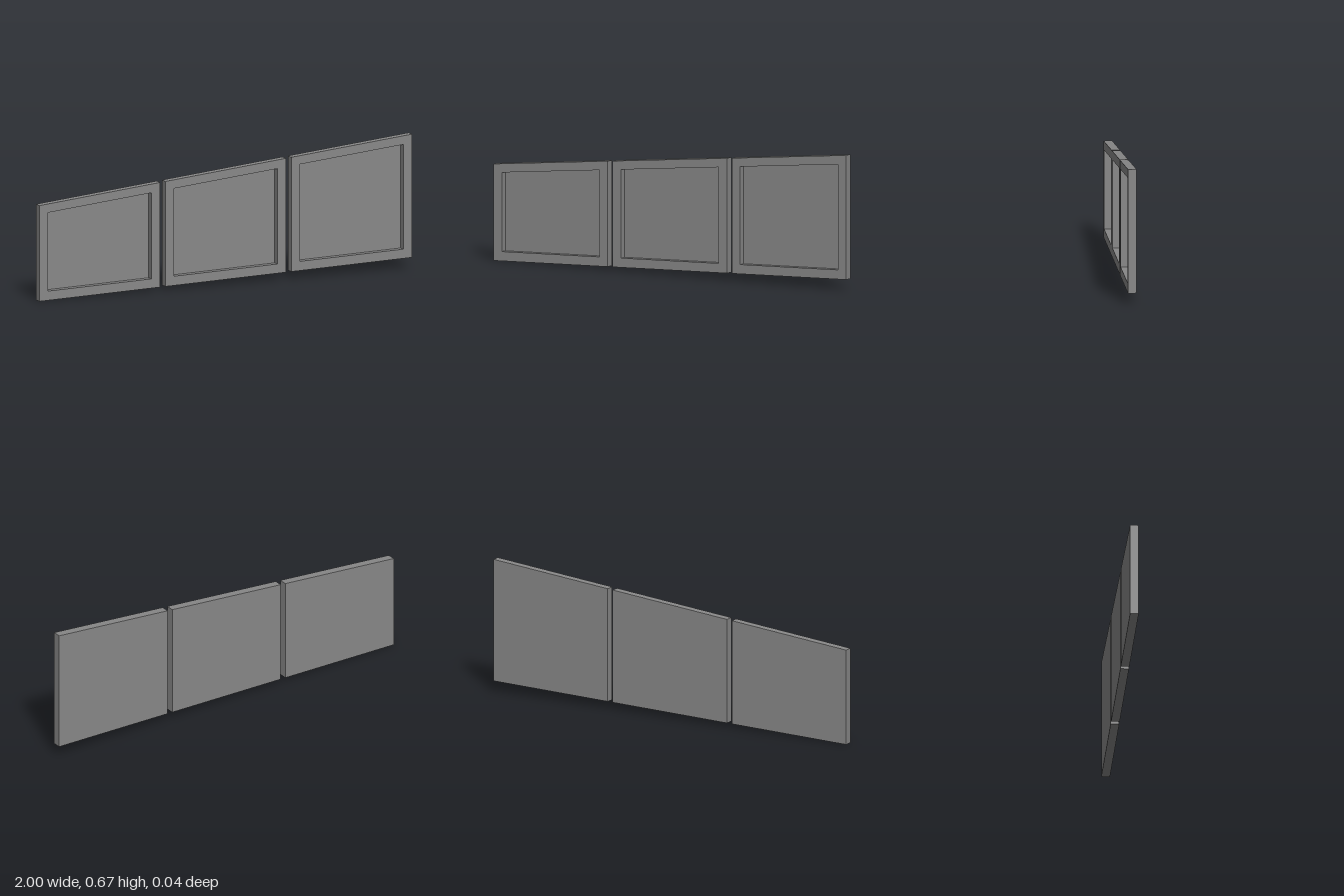
import * as THREE from 'three';

const HALF_DEPTH = 0.021;
const FLOOR_Z = -0.012;
const PANEL_WIDTH = 0.648;
const PITCH = 0.676;

// Sloping lower and upper edges shared by the whole row
const lowerEdge = x => 0.0268 * (x + 1);
const upperEdge = x => 0.475 + 0.095 * (x + 1);

// Four corners, counter-clockwise from the front, inset from the panel outline
function outline(x0, x1, z, side = 0, bottom = 0, top = 0) {
  const l = x0 + side, r = x1 - side;
  return [
    [l, lowerEdge(l) + bottom, z],
    [r, lowerEdge(r) + bottom, z],
    [r, upperEdge(r) - top, z],
    [l, upperEdge(l) - top, z],
  ];
}

// Closed solid skinned through successive loops of four corners, capped at both ends
function skinLoops(loops) {
  const positions = [];
  const quad = (a, b, c, d) => positions.push(...a, ...b, ...c, ...a, ...c, ...d);
  for (let k = 0; k < loops.length - 1; k++) {
    for (let i = 0; i < 4; i++) {
      const j = (i + 1) % 4;
      quad(loops[k][i], loops[k][j], loops[k + 1][j], loops[k + 1][i]);
    }
  }
  quad(...[...loops[0]].reverse());
  quad(...loops[loops.length - 1]);
  const geometry = new THREE.BufferGeometry();
  geometry.setAttribute('position', new THREE.Float32BufferAttribute(positions, 3));
  geometry.computeVertexNormals();
  return geometry;
}

export function createModel() {
  const group = new THREE.Group();
  group.name = 'slopingPanelRow';
  const material = new THREE.MeshStandardMaterial({ color: 0x888888, flatShading: true });

  // Three framed panels, each with a recessed front
  ['rightPanel', 'middlePanel', 'leftPanel'].forEach((name, i) => {
    const x0 = -1 + i * PITCH, x1 = x0 + PANEL_WIDTH;
    const panel = new THREE.Mesh(skinLoops([
      outline(x0, x1, -HALF_DEPTH),                       // back
      outline(x0, x1, HALF_DEPTH),                        // front rim, outer
      outline(x0, x1, HALF_DEPTH, 0.047, 0.046, 0.043),   // front rim, inner
      outline(x0, x1, FLOOR_Z, 0.047, 0.046, 0.043),      // recess floor
    ]), material);
    panel.name = name;
    group.add(panel);
  });

  return group;
}
